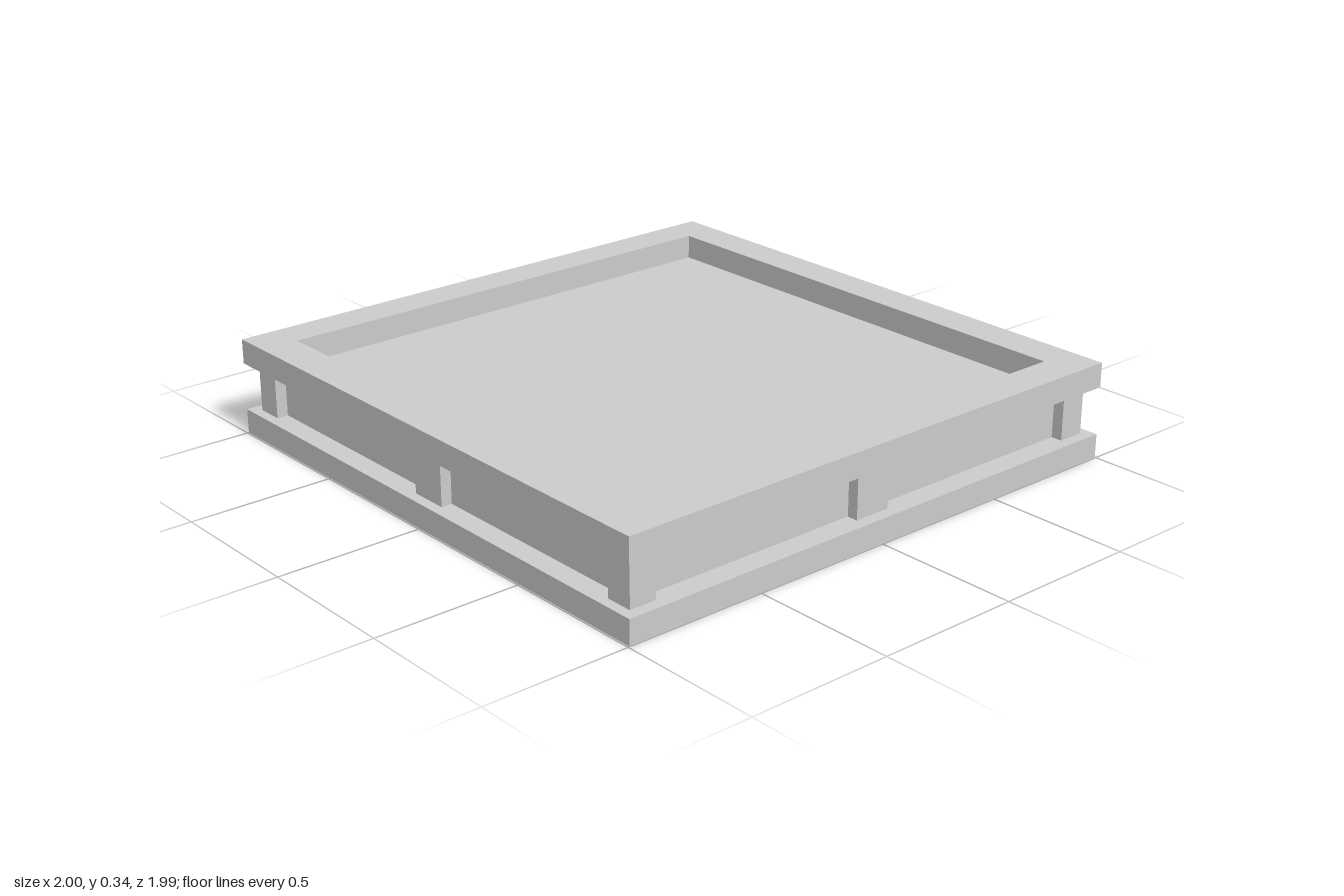
import * as THREE from 'three';

export function createModel() {
  const group = new THREE.Group();
  const material = new THREE.MeshStandardMaterial({ color: 0xcccccc, flatShading: true });

  const add = (name, geometry, x, y, z) => {
    const mesh = new THREE.Mesh(geometry, material);
    mesh.name = name;
    mesh.position.set(x, y, z);
    group.add(mesh);
    return mesh;
  };
  const box = (name, w, h, d, x, y, z) =>
    add(name, new THREE.BoxGeometry(w, h, d), x, y + h / 2, z);

  const slab = 0.085, top = 0.335, rimBase = 0.25;
  const halfX = 1, halfZ = 0.995;
  const postHeight = rimBase - slab;

  // Base slab and recessed core, whose top is the tray floor
  box('base', 2 * halfX, slab, 2 * halfZ, 0, 0, 0);
  box('core', 1.84, postHeight, 1.84, 0, slab, 0);

  // Raised rim: a rectangular frame around the tray
  const rect = (path, x, z) =>
    path.moveTo(-x, -z).lineTo(x, -z).lineTo(x, z).lineTo(-x, z).closePath();
  const frame = rect(new THREE.Shape(), halfX, halfZ);
  frame.holes.push(rect(new THREE.Path(), 0.87, 0.863));
  const rim = new THREE.ExtrudeGeometry(frame, { depth: top - rimBase, bevelEnabled: false });
  rim.rotateX(-Math.PI / 2);
  add('rim', rim, 0, rimBase, 0);

  // Corner posts and the middle post of each side
  for (const s of [-1, 1]) {
    for (const t of [-1, 1]) {
      box('cornerPost', 0.095, postHeight, 0.095, s * 0.9125, slab, t * 0.9125);
    }
    box('middlePost', 0.135, postHeight, 0.06, 0, slab, s * 0.928);
    box('middlePost', 0.06, postHeight, 0.13, s * 0.928, slab, 0.007);
  }
  return group;
}
